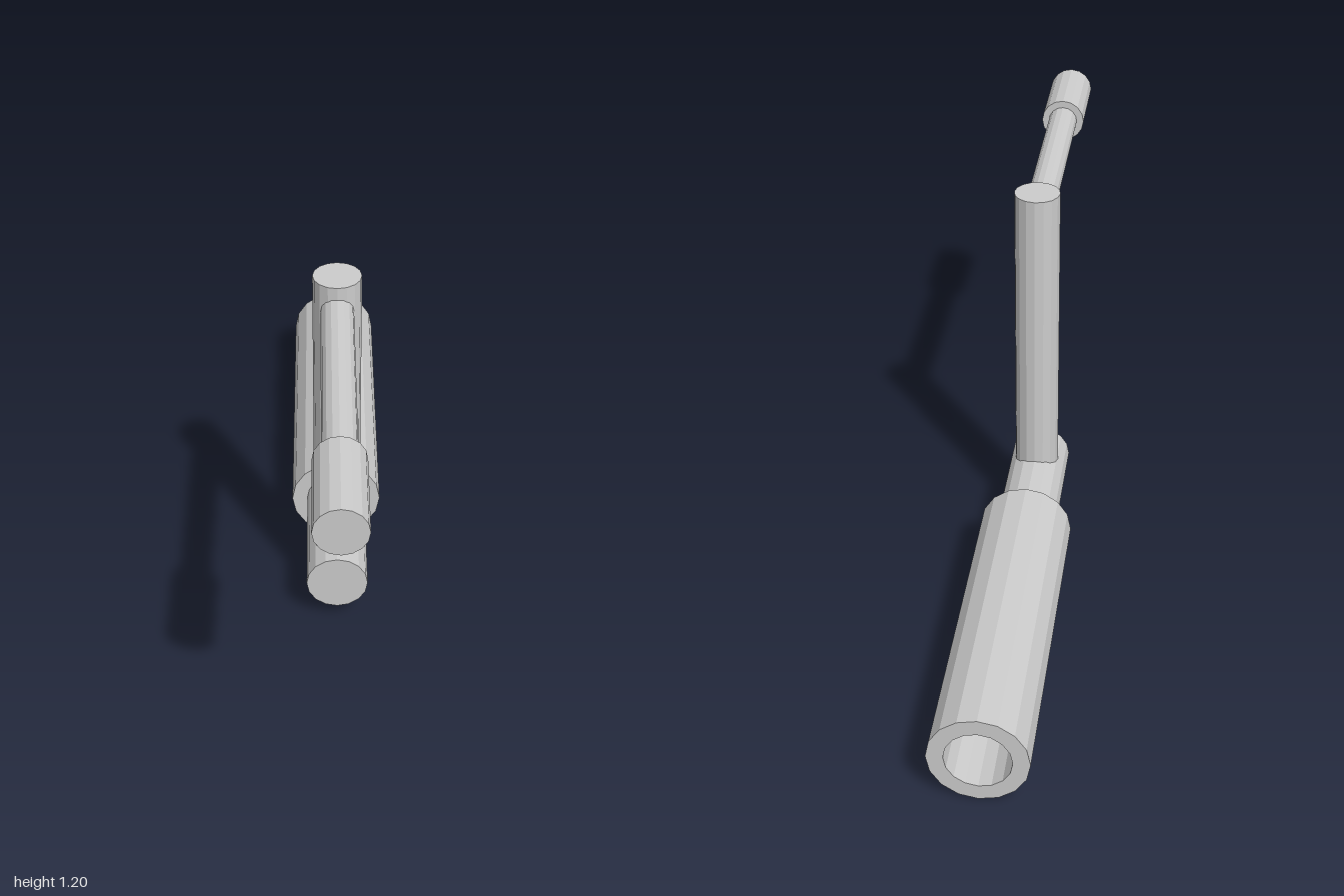
import * as THREE from 'three';

const SIDES = 16;
const AXIS_Y = 0.147; // height of the roller axis
const ARM_Y = 1.118; // height of the handle axis
const POST = 1.36; // distance of the post along the crank line

const material = new THREE.MeshStandardMaterial({ color: 0xcccccc, flatShading: true });

function addMesh(parent, name, geometry) {
  const mesh = new THREE.Mesh(geometry, material);
  mesh.name = name;
  parent.add(mesh);
  return mesh;
}

// Solid bar lying along z from z0 to z1
function addBar(parent, name, radius, y, z0, z1) {
  const geometry = new THREE.CylinderGeometry(radius, radius, z1 - z0, SIDES);
  geometry.rotateX(Math.PI / 2);
  addMesh(parent, name, geometry).position.set(0, y, (z0 + z1) / 2);
}

export function createModel() {
  const model = new THREE.Group();
  model.name = 'handCrank';

  // All parts share one line, turned in plan
  const crank = new THREE.Group();
  crank.name = 'crank';
  crank.position.set(-0.721, 0, -0.908);
  crank.rotation.y = Math.atan2(1.502, 1.864);
  model.add(crank);

  // Hollow sleeve: closed ring profile turned about its axis
  const outer = 0.1465, inner = 0.097, length = 1.063;
  const profile = [
    [inner, 0], [outer, 0], [outer, length], [inner, length], [inner, 0],
  ].map(([r, h]) => new THREE.Vector2(r, h));
  const sleeve = new THREE.LatheGeometry(profile, SIDES);
  sleeve.rotateX(Math.PI / 2);
  addMesh(crank, 'sleeve', sleeve).position.y = AXIS_Y;

  // Shaft pushed into the sleeve
  addBar(crank, 'shaft', 0.0965, AXIS_Y, 0.95, 1.49);

  // Upright post rising from the shaft
  const postTop = 1.205;
  const post = new THREE.CylinderGeometry(0.0715, 0.0715, postTop - AXIS_Y, SIDES);
  addMesh(crank, 'post', post).position.set(0, (postTop + AXIS_Y) / 2, POST);

  // Handle rod and its grip
  addBar(crank, 'handleRod', 0.048, ARM_Y, POST, 2.15);
  addBar(crank, 'handleGrip', 0.0715, ARM_Y, 2.105, 2.394);

  return model;
}
